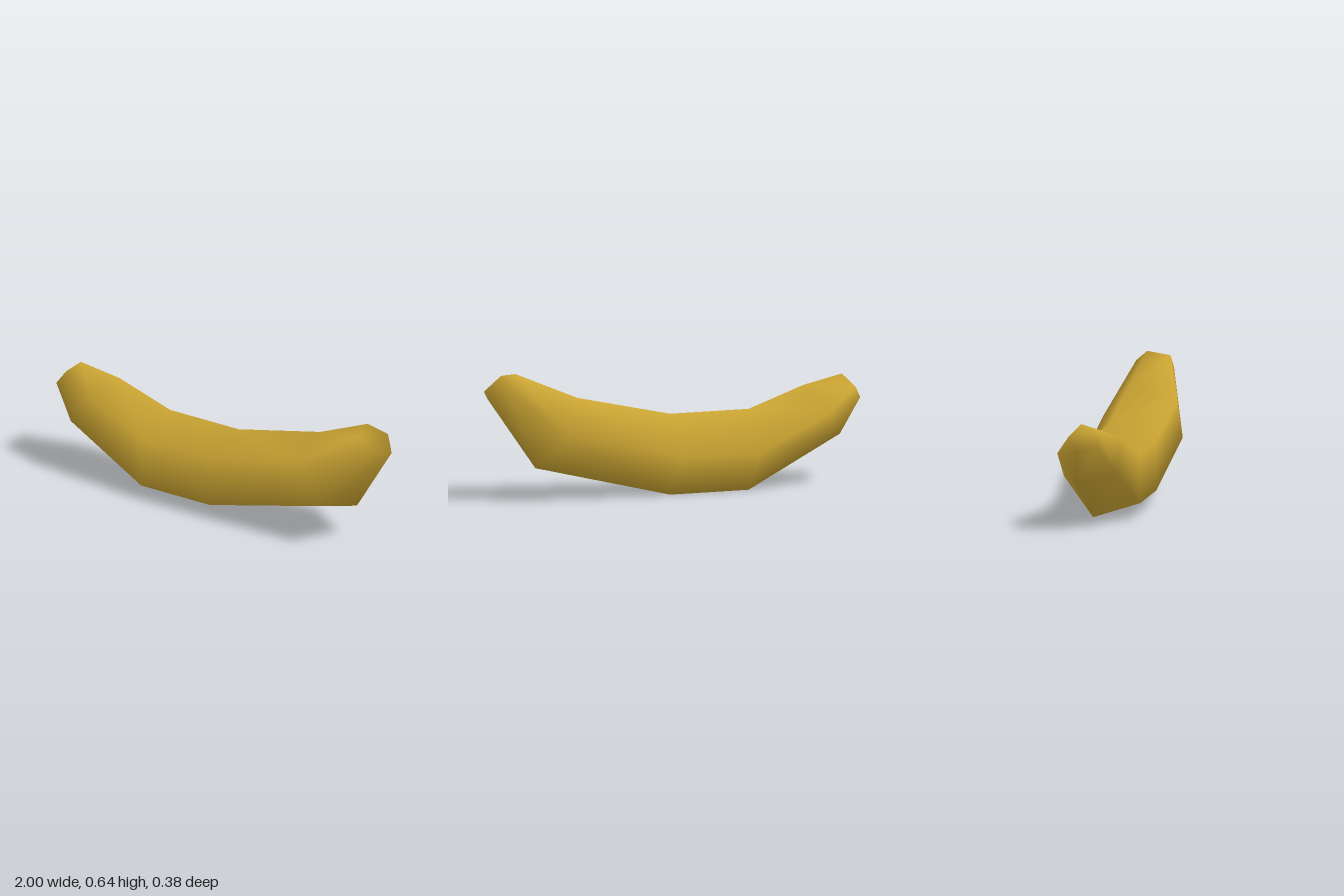
import * as THREE from 'three';

const SIDES = 5;

// Cross-sections from the right tip to the left tip:
// centre x, centre y, radius, lean (x, y) of the section's upward direction
const SECTIONS = [
  [-0.95, 0.478, 0.083, 0.05, 0.0625],
  [-0.78, 0.3725, 0.168, 0.1, 0.1275],
  [-0.385, 0.2, 0.21, 0, 1],
  [0.035, 0.2, 0.21, 0, 1],
  [0.645, 0.34, 0.212, -0.115, 0.17],
  [0.923, 0.58, 0.099, -0.075, 0.06],
];
const CENTRE_Z = 0.02;

// Skins the pentagonal sections with shared vertices, so shading stays smooth
function bananaGeometry() {
  const positions = [];
  const index = [];
  for (const [x, y, r, lx, ly] of SECTIONS) {
    const up = new THREE.Vector2(lx, ly).normalize();
    for (let j = 0; j < SIDES; j++) {
      const a = ((j + 0.5) * 2 * Math.PI) / SIDES;
      const h = r * Math.sin(a);
      positions.push(x + up.x * h, y + up.y * h, CENTRE_Z + r * Math.cos(a));
    }
  }
  // Side faces
  for (let i = 0; i < SECTIONS.length - 1; i++) {
    for (let j = 0; j < SIDES; j++) {
      const a = i * SIDES + j;
      const b = i * SIDES + ((j + 1) % SIDES);
      index.push(a, a + SIDES, b, b, a + SIDES, b + SIDES);
    }
  }
  // Flat tips
  const last = (SECTIONS.length - 1) * SIDES;
  for (let j = 1; j < SIDES - 1; j++) {
    index.push(0, j, j + 1);
    index.push(last, last + j + 1, last + j);
  }
  const geometry = new THREE.BufferGeometry();
  geometry.setAttribute('position', new THREE.Float32BufferAttribute(positions, 3));
  geometry.setIndex(index);
  geometry.computeVertexNormals();
  return geometry;
}

export function createModel() {
  const group = new THREE.Group();
  group.name = 'banana';
  const peel = new THREE.MeshStandardMaterial({ color: 0xc9a332 });
  peel.name = 'peel yellow';
  const body = new THREE.Mesh(bananaGeometry(), peel);
  body.name = 'peel';
  group.add(body);
  return group;
}
